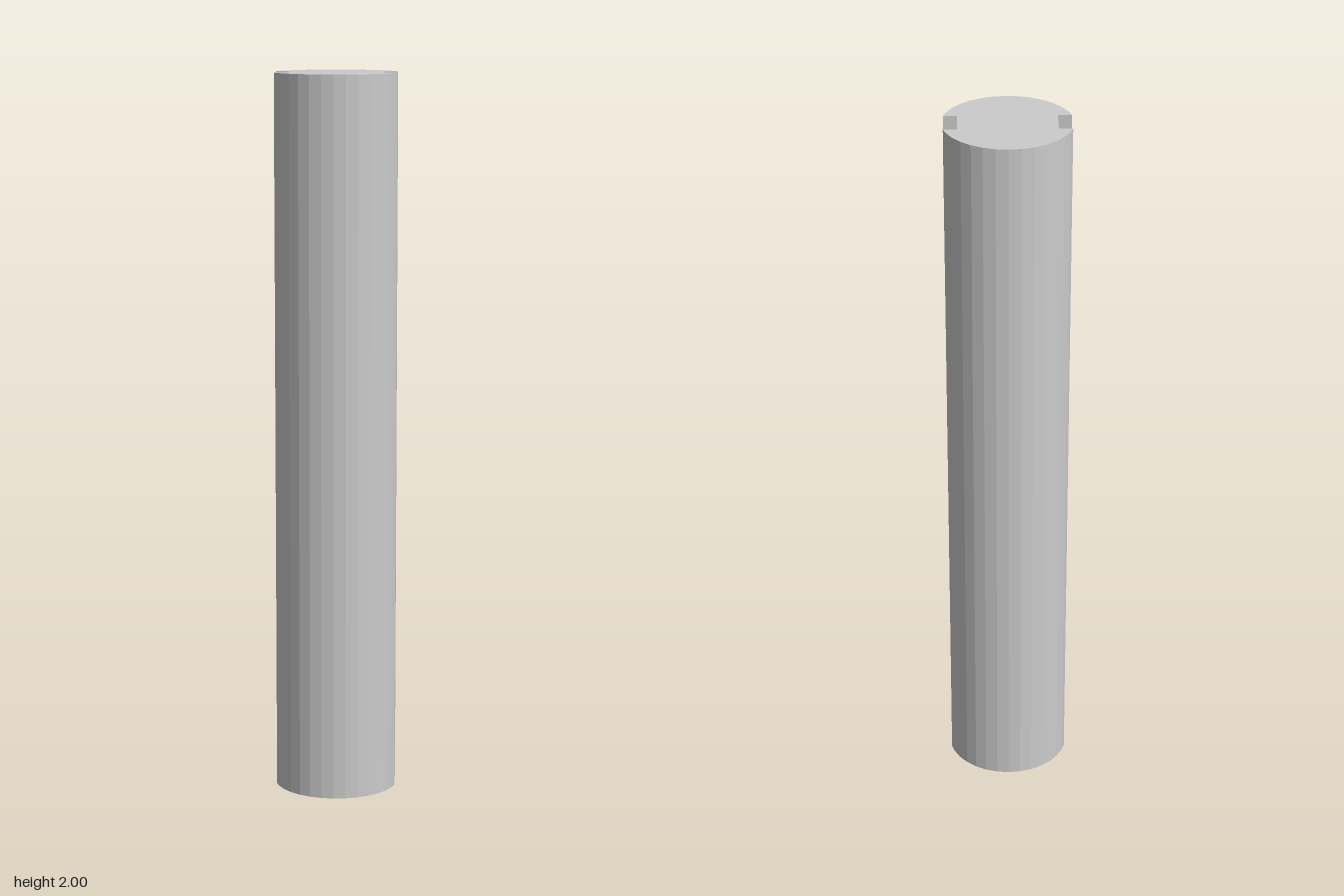
import * as THREE from 'three';

const HEIGHT = 2;
const RX = 0.172, RZ = 0.1665;          // slightly oval section
const SLOT_X = 0.13, SLOT_Z = 0.042;    // groove floor and half width
const TIP_X = 0.1665;                   // groove lip
const STEP = Math.PI / 16;

// Half of the outline: lip, faceted arc, lip, then the groove floor
function halfOutline(sign) {
  const points = [[SLOT_X, SLOT_Z], [TIP_X, SLOT_Z]];
  for (let i = 2; i <= 14; i++) points.push([RX * Math.cos(i * STEP), RZ * Math.sin(i * STEP)]);
  points.push([-TIP_X, SLOT_Z], [-SLOT_X, SLOT_Z]);
  return points.map(([x, y]) => new THREE.Vector2(sign * x, sign * y));
}

export function createModel() {
  const group = new THREE.Group();
  group.name = 'groovedRod';

  // Rod with a full-length groove on each side
  const section = new THREE.Shape([...halfOutline(1), ...halfOutline(-1)]);
  const geometry = new THREE.ExtrudeGeometry(section, { depth: HEIGHT, bevelEnabled: false });
  geometry.rotateX(-Math.PI / 2);

  const rod = new THREE.Mesh(
    geometry,
    new THREE.MeshStandardMaterial({ color: 0xcccccc, flatShading: true })
  );
  rod.name = 'rod';
  group.add(rod);
  return group;
}
